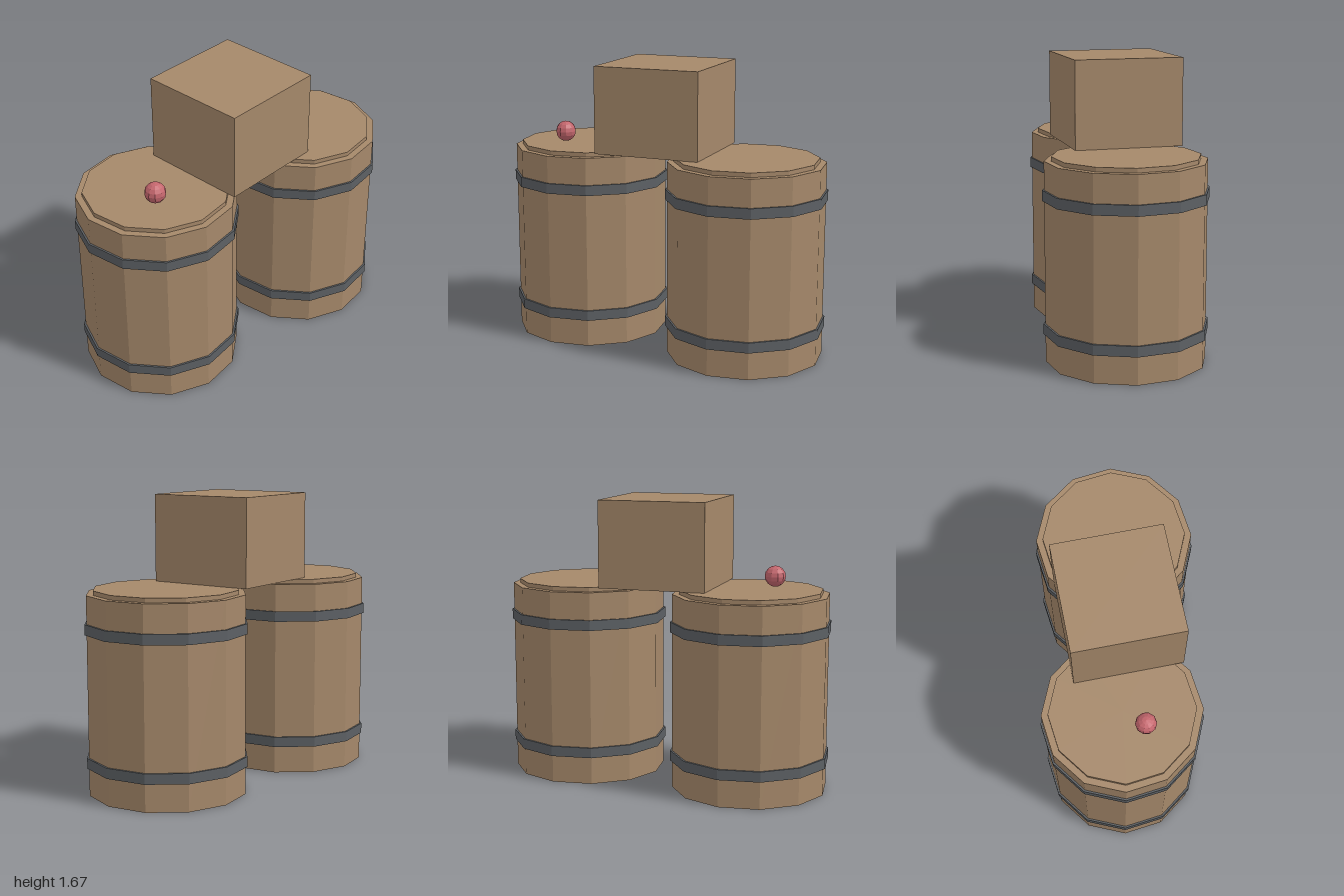
import * as THREE from 'three';

const flat = (name, color) => {
  const m = new THREE.MeshStandardMaterial({ color, flatShading: true });
  m.name = name;
  return m;
};

export function createModel() {
  const wood = flat('wood', 0xa5886a);
  const iron = flat('iron', 0x5c6064);
  const red = flat('red', 0xc4666d);

  const model = new THREE.Group();
  model.name = 'barrelStack';

  const add = (parent, name, geometry, material, x, y, z) => {
    const mesh = new THREE.Mesh(geometry, material);
    mesh.name = name;
    mesh.position.set(x, y, z);
    parent.add(mesh);
    return mesh;
  };

  // Twelve-sided drum spanning y0 to y1
  const drum = (parent, name, radius, y0, y1, material) =>
    add(parent, name, new THREE.CylinderGeometry(radius, radius, y1 - y0, 12), material, 0, (y0 + y1) / 2, 0);

  // Two barrels, each with a raised lid and two hoops
  for (const [name, z] of [['frontBarrel', 0.534], ['backBarrel', -0.534]]) {
    const barrel = new THREE.Group();
    barrel.name = name;
    barrel.position.z = z;
    drum(barrel, 'body', 0.455, 0, 1.14, wood);
    drum(barrel, 'lid', 0.416, 1.14, 1.165, wood);
    drum(barrel, 'lowerHoop', 0.466, 0.16, 0.22, iron);
    drum(barrel, 'upperHoop', 0.466, 0.92, 0.98, iron);
    model.add(barrel);
  }

  // Crate bridging both lids, slightly turned
  const crate = add(model, 'crate', new THREE.BoxGeometry(0.632, 0.506, 0.632), wood, 0, 1.418, 0);
  crate.rotation.y = 0.15;

  // Small ball resting on the front lid
  add(model, 'ball', new THREE.SphereGeometry(0.061, 10, 8), red, 0.125, 1.23, 0.63);

  return model;
}
